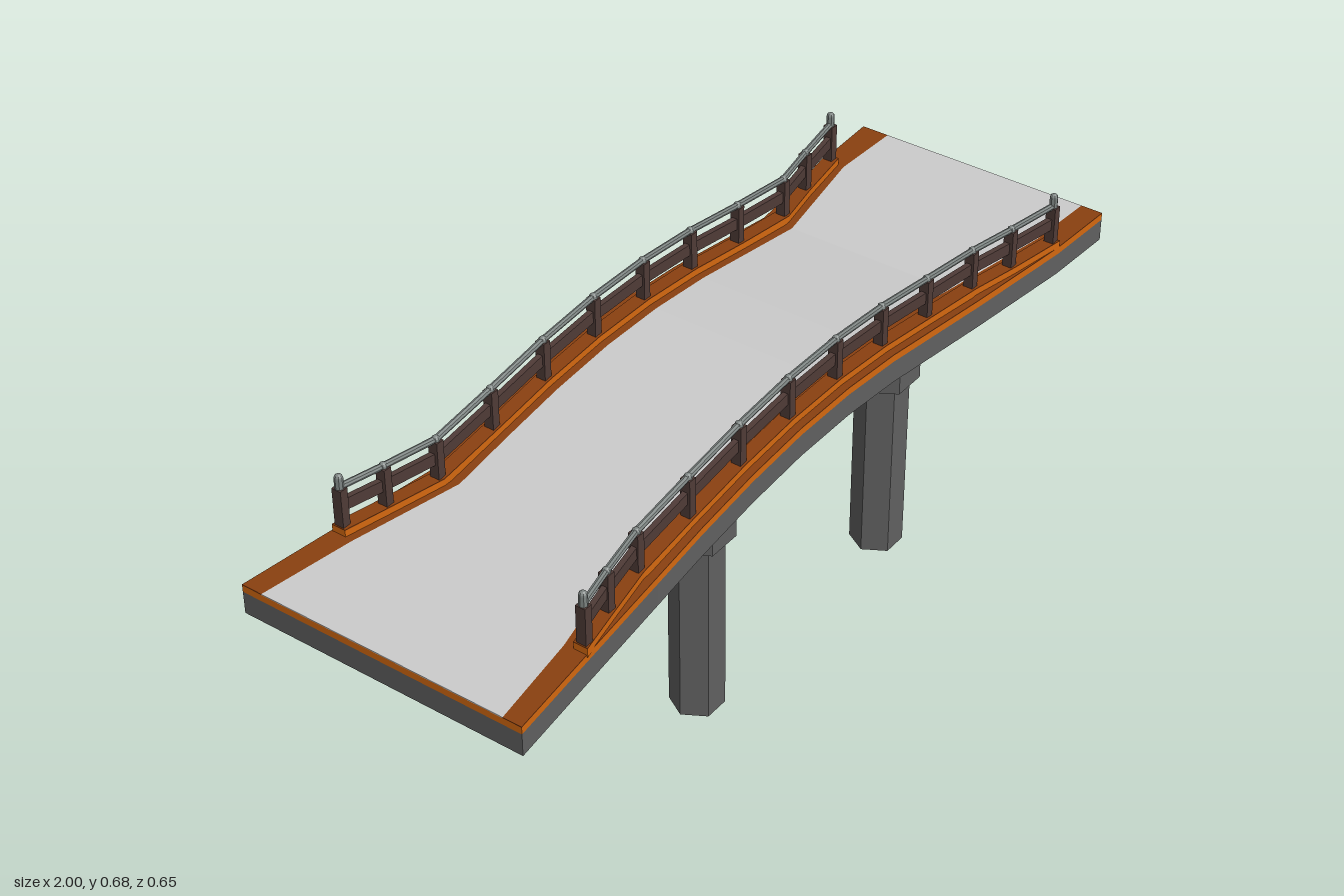
import * as THREE from 'three';

const mat = (color) => new THREE.MeshStandardMaterial({ color, flatShading: true });
const concrete = mat(0x606060);
const orange = mat(0xd4680f);
const brown = mat(0x8a4010);
const wood = mat(0x4f3b37);
const steel = mat(0x7d8482);
const asphalt = mat(0xcccccc);

// Deck stations: x, lift, outer front z, outer back z, inner front z, inner back z
const deck = [
  [-1, 0, 0.322, -0.327, 0.28, -0.28],
  [-0.79, 0, 0.297, -0.302, 0.248, -0.25],
  [-0.54, 0, 0.268, -0.272, 0.187, -0.2],
  [-0.4, 0.023, 0.266, -0.272, 0.186, -0.2],
  [-0.24, 0.046, 0.266, -0.272, 0.186, -0.2],
  [-0.08, 0.059, 0.266, -0.272, 0.186, -0.2],
  [0.08, 0.059, 0.266, -0.272, 0.186, -0.2],
  [0.24, 0.046, 0.266, -0.272, 0.186, -0.2],
  [0.4, 0.023, 0.266, -0.272, 0.19, -0.2],
  [0.56, 0, 0.266, -0.272, 0.196, -0.2],
  [0.83, 0, 0.296, -0.303, 0.243, -0.25],
  [1, 0, 0.303, -0.311, 0.252, -0.246],
];

// Railing posts: x, distance from the centre line
const posts = [
  [-0.775, 0.283], [-0.68, 0.26], [-0.56, 0.235], [-0.4, 0.233], [-0.24, 0.233], [-0.08, 0.233],
  [0.08, 0.233], [0.24, 0.233], [0.405, 0.233], [0.575, 0.235], [0.69, 0.258], [0.82, 0.281],
];

// Rise of the deck above its flat ends
function lift(x) {
  for (let i = 1; i < deck.length; i++) {
    const [a, b] = [deck[i - 1], deck[i]];
    if (x <= b[0]) return a[1] + ((b[1] - a[1]) * (x - a[0])) / (b[0] - a[0]);
  }
  return 0;
}

// Joins cross-sections (rings of [x, y, z], wound from +y towards +z) along +x, ends closed
function loft(rings) {
  const n = rings[0].length;
  const index = [];
  for (let i = 0; i < rings.length - 1; i++) {
    for (let j = 0; j < n; j++) {
      const a = i * n + j, b = i * n + ((j + 1) % n);
      index.push(a, b, a + n, b, b + n, a + n);
    }
  }
  const last = (rings.length - 1) * n;
  for (let j = 1; j < n - 1; j++) index.push(0, j + 1, j, last, last + j, last + j + 1);
  const g = new THREE.BufferGeometry();
  g.setAttribute('position', new THREE.Float32BufferAttribute(rings.flat(2), 3));
  g.setIndex(index);
  const flat = g.toNonIndexed();
  flat.computeVertexNormals();
  return flat;
}

const box = (x, y0, y1, z0, z1) => [[x, y1, z0], [x, y1, z1], [x, y0, z1], [x, y0, z0]];

function circle(x, y, z, r, n = 8) {
  return Array.from({ length: n }, (_, i) => {
    const t = (i / n) * Math.PI * 2;
    return [x, y + r * Math.cos(t), z + r * Math.sin(t)];
  });
}

function add(parent, name, geometry, material, x = 0, y = 0, z = 0) {
  const m = new THREE.Mesh(geometry, material);
  m.name = name;
  m.position.set(x, y, z);
  parent.add(m);
  return m;
}

// A deck layer between two heights and two columns of the station table
function layer(parent, name, material, y0, y1, back, front) {
  const rings = deck.map((d) => box(d[0], y0 + d[1], y1 + d[1], d[back], d[front]));
  add(parent, name, loft(rings), material);
}

function railing(side) {
  const g = new THREE.Group();
  g.name = side > 0 ? 'frontRailing' : 'backRailing';
  const run = (fn) => loft(posts.map(([x, z], i) => fn(x, lift(x), side * z, i)));

  // Raised curb, with a thin darker top
  const end = (x, i) => x + (i === 0 ? -0.012 : i === posts.length - 1 ? 0.012 : 0);
  add(g, 'curb', run((x, h, z, i) => box(end(x, i), 0.505 + h, 0.524 + h, z - 0.016, z + 0.016)), orange);
  add(g, 'curbTop', run((x, h, z, i) => box(end(x, i), 0.524 + h, 0.526 + h, z - 0.016, z + 0.016)), brown);

  // Middle board and pipe handrail
  add(g, 'railBoard', run((x, h, z) => box(x, 0.558 + h, 0.584 + h, z - 0.006, z + 0.006)), wood);
  add(g, 'handrail', run((x, h, z) => circle(x, 0.612 + h, z, 0.007)), steel);

  // Posts with round caps, the end ones taller
  posts.forEach(([x, z], i) => {
    const h = lift(x);
    const top = i === 0 || i === posts.length - 1 ? 0.642 : 0.621;
    add(g, 'post', new THREE.BoxGeometry(0.019, 0.092, 0.022), wood, x, 0.564 + h, side * z);
    const r = 0.009, len = top - r - 0.605;
    add(g, 'capStem', new THREE.CylinderGeometry(r, r, len, 8), steel, x, 0.605 + len / 2 + h, side * z);
    add(g, 'capDome', new THREE.SphereGeometry(r, 8, 4, 0, Math.PI * 2, 0, Math.PI / 2),
      steel, x, top - r + h, side * z);
  });
  return g;
}

export function createModel() {
  const bridge = new THREE.Group();
  bridge.name = 'bridge';

  // Deck layers, from the slab up to the road
  layer(bridge, 'deckSlab', concrete, 0.443, 0.493, 3, 2);
  layer(bridge, 'edgeBand', orange, 0.493, 0.508, 3, 2);
  layer(bridge, 'road', asphalt, 0.508, 0.51, 5, 4);
  layer(bridge, 'frontBorder', brown, 0.508, 0.51, 4, 2);
  layer(bridge, 'backBorder', brown, 0.508, 0.51, 3, 5);

  bridge.add(railing(1), railing(-1));

  // Hexagonal columns with wider heads
  const hex = (r, h) => new THREE.CylinderGeometry(r, r, h, 6, 1, false, Math.PI / 2);
  for (const x of [-0.307, 0.333]) {
    for (const z of [0.183, -0.181]) {
      add(bridge, 'column', hex(0.056, 0.43), concrete, x, 0.215, z);
      add(bridge, 'columnHead', hex(0.076, 0.066), concrete, x, 0.453, z);
    }
  }
  return bridge;
}
